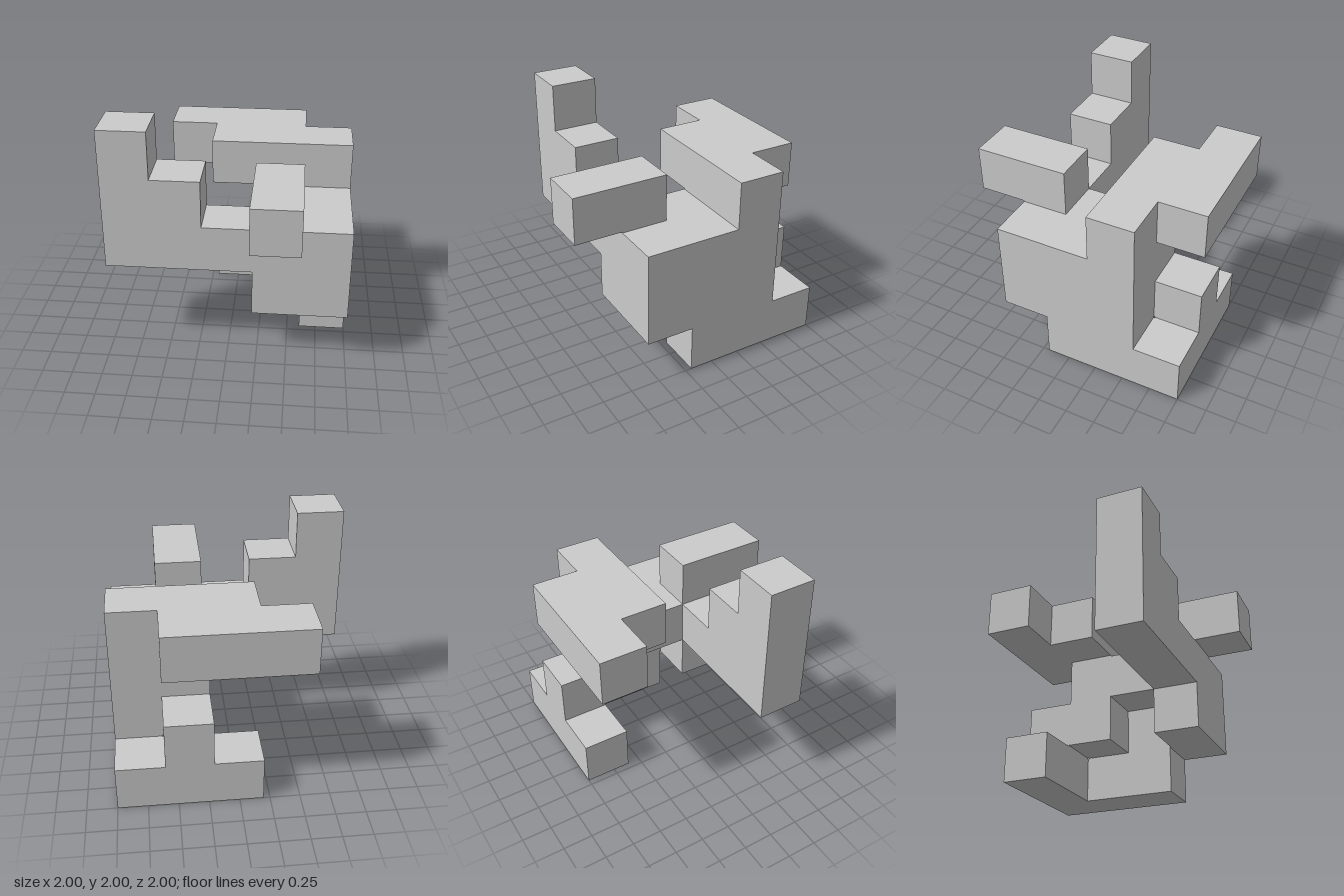
import * as THREE from 'three';

const N = 5;                          // cells per side
const INSET = 0.004;                  // clearance taken off every face
const PITCH = (2 + 2 * INSET) / N;

// Runs of cubes: [xFrom, xTo, yFrom, yTo, zFrom, zTo], inclusive
const runs = [
  [0, 0, 2, 4, 3, 3], // tall post
  [1, 1, 2, 3, 3, 3], // step beside the post
  [0, 4, 2, 2, 3, 3], // front beam
  [3, 4, 2, 2, 1, 3], // core block
  [3, 3, 3, 3, 3, 4], // arm pointing forward
  [2, 4, 3, 3, 1, 1], // upper wall
  [1, 3, 3, 3, 0, 0], // upper back bar
  [4, 4, 1, 1, 1, 3], // lower side
  [3, 3, 1, 1, 3, 3], // lower front corner
  [3, 3, 1, 1, 0, 1], // lower back stub
  [4, 4, 0, 0, 0, 2], // foot, running front to back
  [2, 4, 0, 0, 0, 0], // foot, running across the back
];

const filled = (x, y, z) => runs.some(([a, b, c, d, e, f]) =>
  x >= a && x <= b && y >= c && y <= d && z >= e && z <= f);

// Each axis alternates cube interiors (even) and thin joints (odd).
// A joint is solid only when the cubes on both sides of it are.
const M = 2 * N - 1;
const touching = (i) => (i % 2 ? [(i - 1) / 2, (i + 1) / 2] : [i / 2]);
const solid = (p) => p.every((i) => i >= 0 && i < M) &&
  touching(p[0]).every((x) => touching(p[1]).every((y) =>
    touching(p[2]).every((z) => filled(x, y, z))));

// Position of grid line i, measured from the low side
const line = (i) => Math.ceil(i / 2) * PITCH + (i % 2 ? -2 * INSET : 0);

function shellGeometry() {
  const positions = [];
  const addFace = (p, axis, side) => {
    const u = (axis + 1) % 3, v = (axis + 2) % 3;
    const corner = (du, dv) => {
      const q = [...p];
      q[axis] += side > 0 ? 1 : 0;
      q[u] += du;
      q[v] += dv;
      return [line(q[0]) - 1, line(q[1]), line(q[2]) - 1];
    };
    const ring = [corner(0, 0), corner(1, 0), corner(1, 1), corner(0, 1)];
    if (side < 0) ring.reverse();
    for (const k of [0, 1, 2, 0, 2, 3]) positions.push(...ring[k]);
  };
  for (let x = 0; x < M; x++) for (let y = 0; y < M; y++) for (let z = 0; z < M; z++) {
    const p = [x, y, z];
    if (!solid(p)) continue;
    for (let axis = 0; axis < 3; axis++) for (const side of [-1, 1]) {
      const next = [...p];
      next[axis] += side;
      if (!solid(next)) addFace(p, axis, side);
    }
  }
  const geometry = new THREE.BufferGeometry();
  geometry.setAttribute('position', new THREE.Float32BufferAttribute(positions, 3));
  geometry.computeVertexNormals();
  return geometry;
}

export function createModel() {
  const group = new THREE.Group();
  group.name = 'cubePuzzle';
  const piece = new THREE.Mesh(shellGeometry(),
    new THREE.MeshStandardMaterial({ color: 0xcccccc, flatShading: true }));
  piece.name = 'puzzlePiece';
  group.add(piece);
  return group;
}
